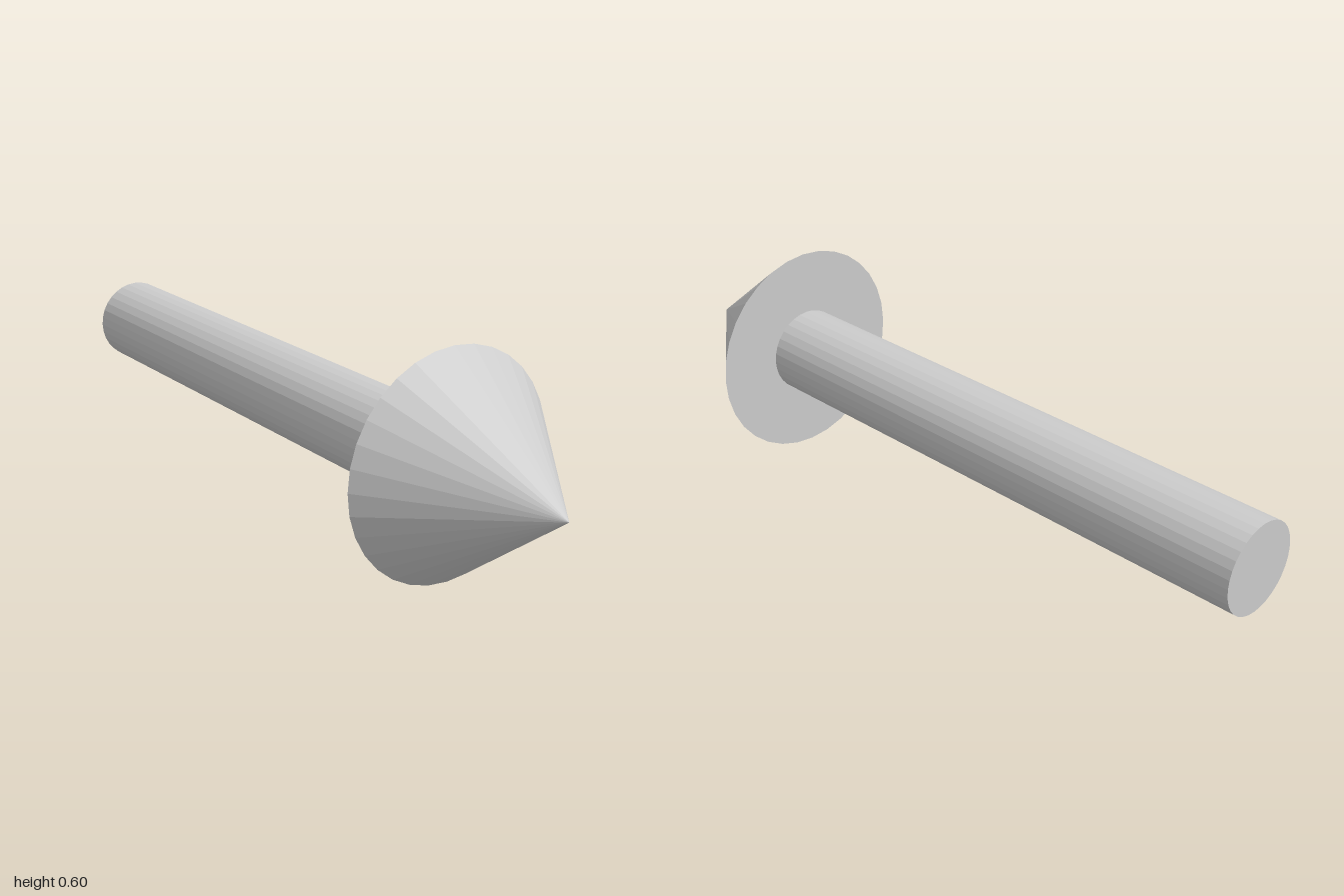
import * as THREE from 'three';

const SIDES = 32;
const AXIS_HEIGHT = 0.3;

export function createModel() {
  const group = new THREE.Group();
  group.name = 'arrow';
  const material = new THREE.MeshStandardMaterial({ color: 0xcccccc, flatShading: true });

  // Lays an upright geometry along +z, centred on the arrow's axis
  const addPart = (name, geometry, z) => {
    geometry.rotateX(Math.PI / 2);
    const mesh = new THREE.Mesh(geometry, material);
    mesh.name = name;
    mesh.position.set(0, AXIS_HEIGHT, z);
    group.add(mesh);
  };

  // Shaft from z = -1 to 0.6
  addPart('shaft', new THREE.CylinderGeometry(0.12, 0.12, 1.6, SIDES), -0.2);

  // Pointed head from z = 0.6 to 1
  addPart('arrowhead', new THREE.ConeGeometry(0.3, 0.4, SIDES), 0.8);

  return group;
}
